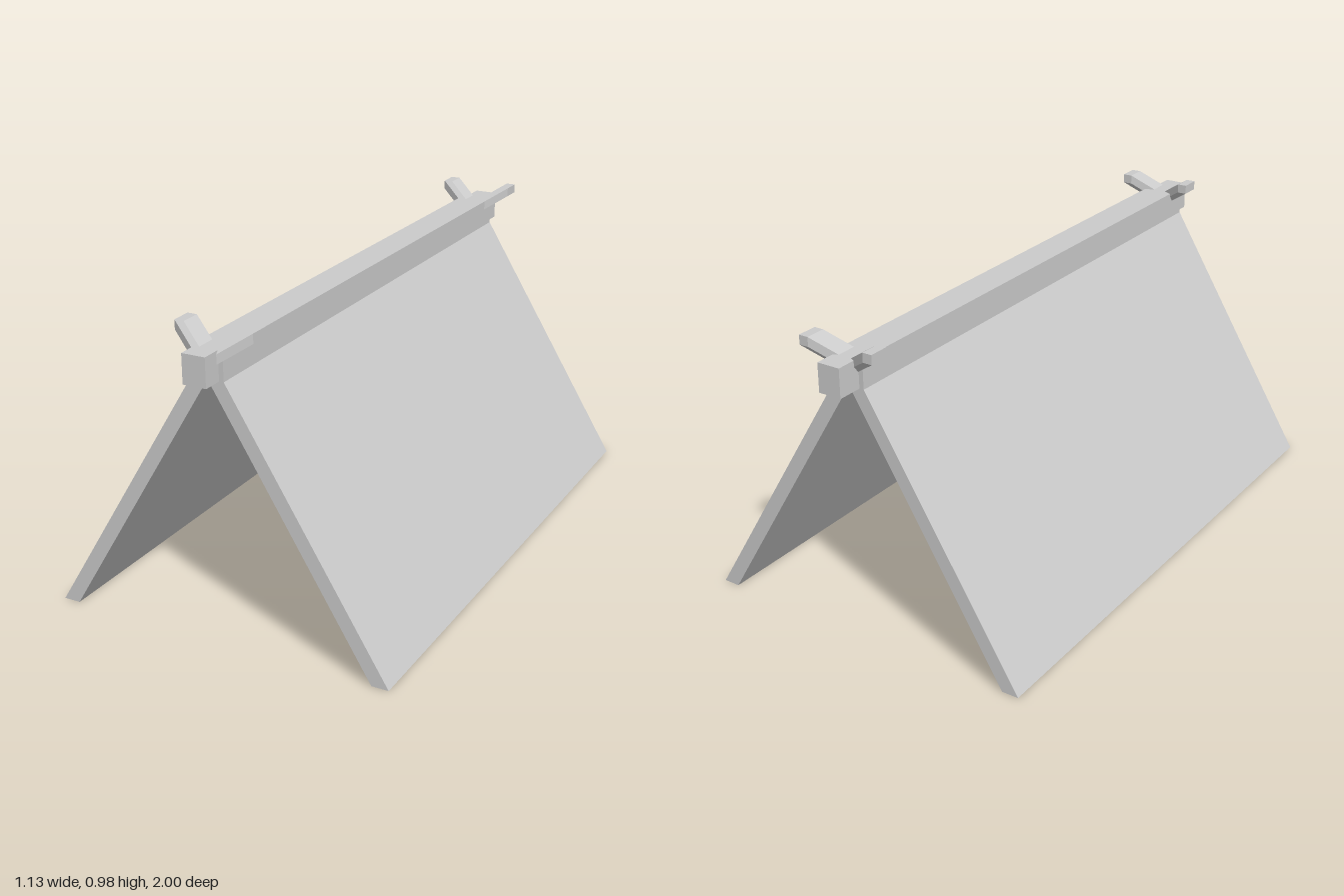
import * as THREE from 'three';
import { ConvexGeometry } from 'three/addons/geometries/ConvexGeometry.js';

const material = new THREE.MeshStandardMaterial({ color: 0xcccccc, flatShading: true });

function addMesh(group, name, geometry) {
  const mesh = new THREE.Mesh(geometry, material);
  mesh.name = name;
  group.add(mesh);
  return mesh;
}

// Sloping roof side with a short upright lip along the ridge
function roofPanel(side) {
  const profile = [[0.51, 0], [0.565, 0], [0.053, 0.836], [0.053, 0.928], [0, 0.928], [0, 0.836]];
  const shape = new THREE.Shape(profile.map(([x, y]) => new THREE.Vector2(side * x, y)));
  const geometry = new THREE.ExtrudeGeometry(shape, { depth: 1.853, bevelEnabled: false });
  return geometry.translate(0, 0, -0.918);
}

// Slanted prong: a small block swept outward, upward and backward from the ridge
function prong(side, tipZ) {
  const points = [];
  for (const t of [0, 1])
    for (const x of [0.097, 0.128])
      for (const y of [0.948, 0.978])
        for (const z of [-0.033, 0.033])
          points.push(new THREE.Vector3(side * (x - 0.09 * t), y - 0.06 * t, tipZ + z + 0.048 * t));
  return new ConvexGeometry(points);
}

export function createModel() {
  const group = new THREE.Group();
  group.name = 'gableRoof';

  // Ridge beam, projecting past both gables
  addMesh(group, 'ridgeBeam', new THREE.BoxGeometry(0.076, 0.092, 2)).position.y = 0.882;

  for (const [side, label] of [[1, 'left'], [-1, 'right']]) {
    addMesh(group, label + 'RoofPanel', roofPanel(side));
    // Crossed finial prongs at each end
    addMesh(group, label + 'FrontProng', prong(side, 0.863));
    addMesh(group, label + 'BackProng', prong(side, -0.935));
  }
  return group;
}
